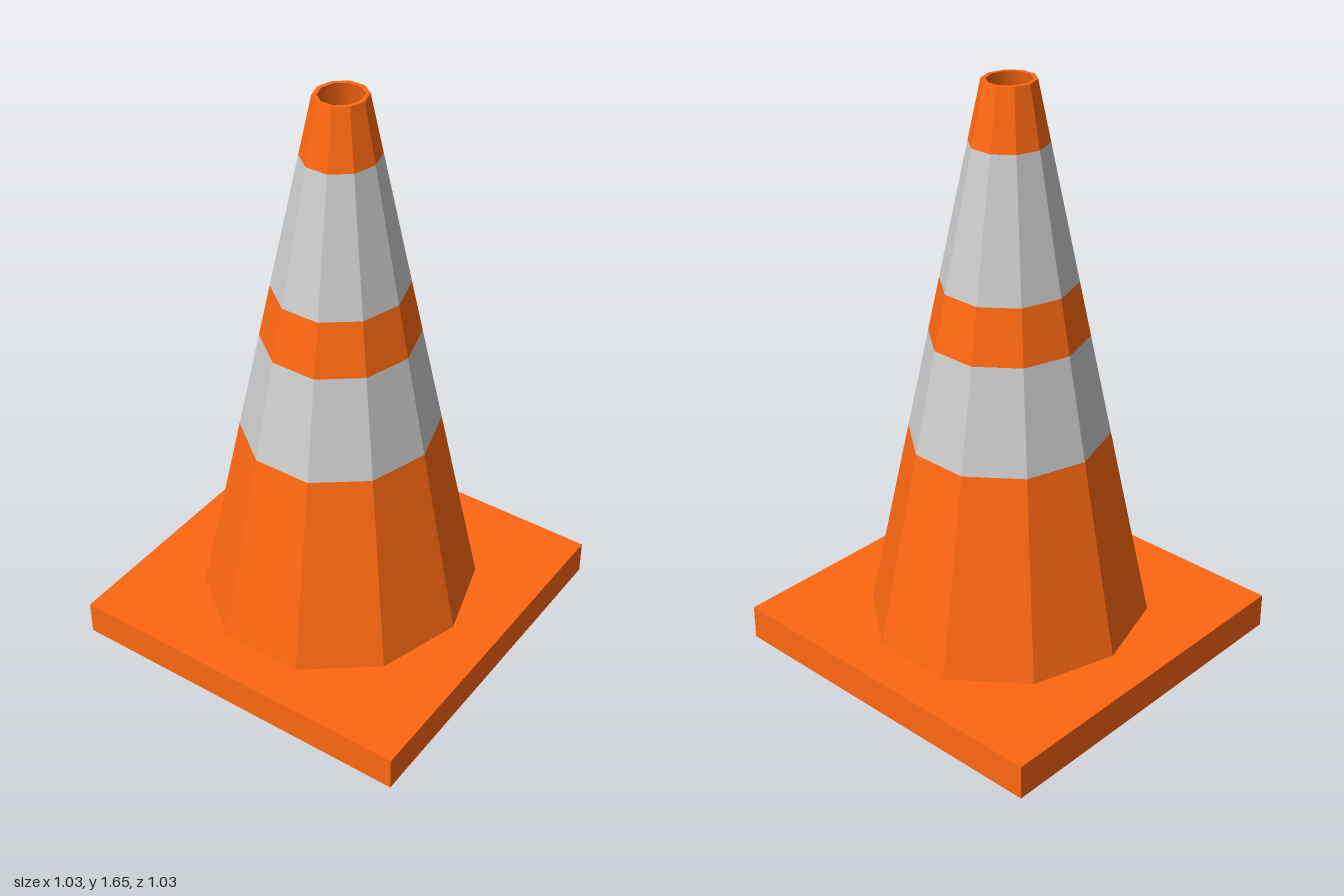
import * as THREE from 'three';
import { toCreasedNormals } from 'three/addons/utils/BufferGeometryUtils.js';

const SIDES = 10, HEIGHT = 1.65, BASE_HEIGHT = 0.1, HALF = 0.515;
const DEPTH_SCALE = 1.066; // the cone is slightly deeper than wide
const SLOPE = 0.203;
const outerRadius = (y) => 0.07 + (HEIGHT - y) * SLOPE;
const innerRadius = (y) => 0.058 + (HEIGHT - y) * SLOPE;

export function createModel() {
  const model = new THREE.Group();
  model.name = 'trafficCone';
  const orange = new THREE.MeshStandardMaterial({ color: 0xfe6811, flatShading: true });
  const grey = new THREE.MeshStandardMaterial({ color: 0xcccccc, flatShading: true });
  const smoothOrange = new THREE.MeshStandardMaterial({ color: 0xfe6811 });
  const insideOrange = new THREE.MeshStandardMaterial({ color: 0xfe6811, side: THREE.BackSide });

  const add = (parent, name, geometry, material) => {
    const mesh = new THREE.Mesh(geometry, material);
    mesh.name = name;
    parent.add(mesh);
    return mesh;
  };
  const tube = (y0, y1, radius) =>
    new THREE.CylinderGeometry(radius(y1), radius(y0), y1 - y0, SIDES, 1, true, Math.PI / 2)
      .translate(0, (y0 + y1) / 2, 0);

  // Square base with a ten-sided hole that narrows upward
  const square = new THREE.Shape([
    new THREE.Vector2(-HALF, -HALF), new THREE.Vector2(HALF, -HALF),
    new THREE.Vector2(HALF, HALF), new THREE.Vector2(-HALF, HALF),
  ]);
  const rim = [];
  for (let i = 0; i < SIDES; i++) {
    const a = -i * Math.PI * 2 / SIDES;
    rim.push(new THREE.Vector2(Math.cos(a), Math.sin(a) * DEPTH_SCALE).multiplyScalar(innerRadius(0)));
  }
  square.holes.push(new THREE.Path(rim));
  const base = new THREE.ExtrudeGeometry(square, { depth: BASE_HEIGHT, bevelEnabled: false });
  base.rotateX(-Math.PI / 2);
  const p = base.attributes.position;
  const taper = innerRadius(BASE_HEIGHT) / innerRadius(0);
  for (let i = 0; i < p.count; i++) {
    const isRim = Math.abs(p.getX(i)) < 0.5 && Math.abs(p.getZ(i)) < 0.5;
    if (isRim && p.getY(i) > BASE_HEIGHT / 2) {
      p.setX(i, p.getX(i) * taper);
      p.setZ(i, p.getZ(i) * taper);
    }
  }
  add(model, 'base', toCreasedNormals(base, 0.9), smoothOrange);

  // Hollow cone: alternating coloured bands outside
  const cone = new THREE.Group();
  cone.name = 'cone';
  cone.scale.z = DEPTH_SCALE;
  model.add(cone);
  const levels = [BASE_HEIGHT, 0.665, 0.955, 1.108, 1.487, HEIGHT];
  const names = ['lowerBody', 'lowerStripe', 'middleBody', 'upperStripe', 'upperBody'];
  names.forEach((name, i) =>
    add(cone, name, tube(levels[i], levels[i + 1], outerRadius), i % 2 ? grey : orange));

  // Smooth inner wall and the rim around the open top
  add(cone, 'innerWall', tube(BASE_HEIGHT, HEIGHT, innerRadius), insideOrange);
  const ring = new THREE.RingGeometry(innerRadius(HEIGHT), outerRadius(HEIGHT), SIDES);
  ring.rotateX(-Math.PI / 2).translate(0, HEIGHT, 0);
  add(cone, 'topRim', ring, orange);

  return model;
}
